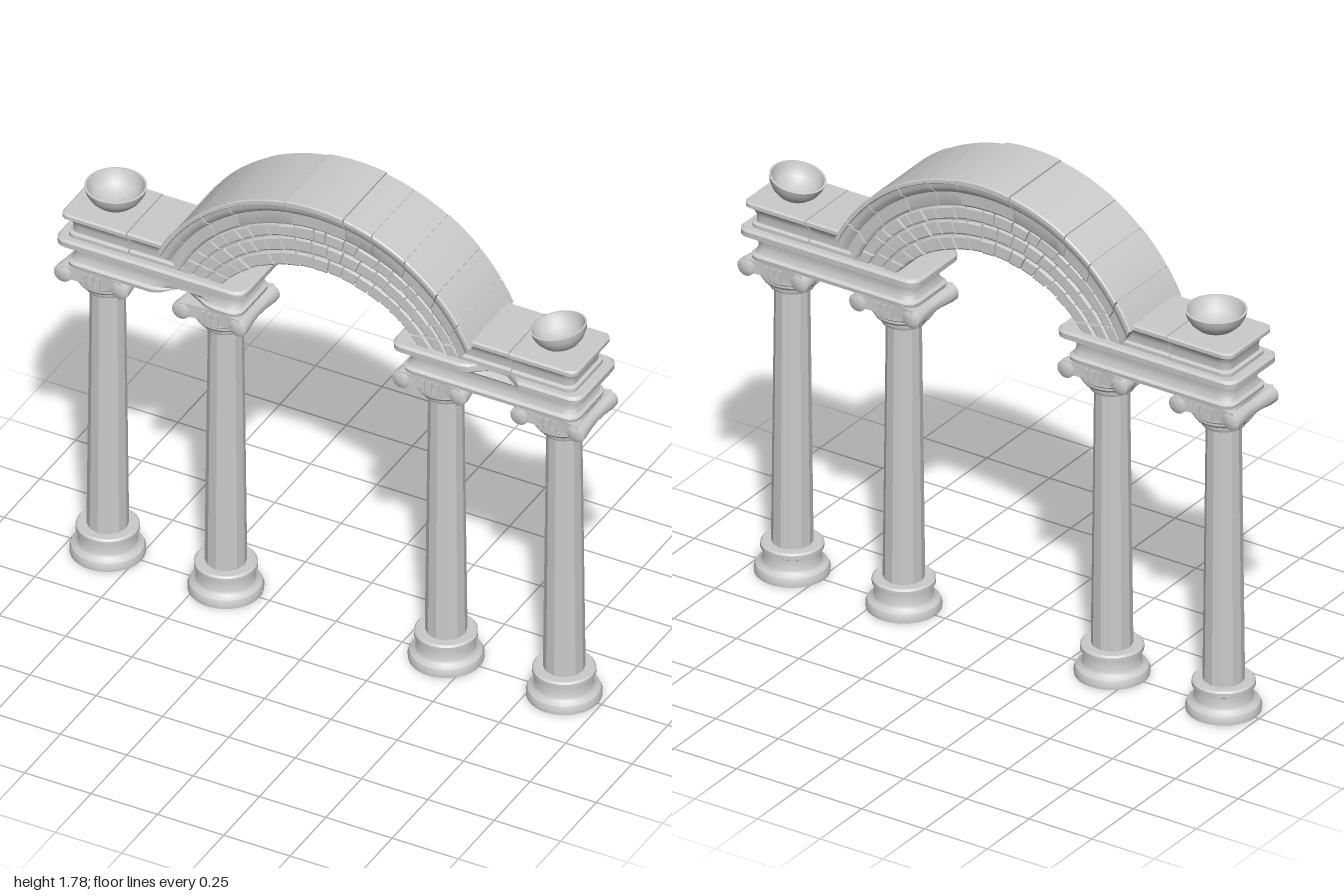
import * as THREE from 'three';
import { toCreasedNormals } from 'three/addons/utils/BufferGeometryUtils.js';

const stone = new THREE.MeshStandardMaterial({ color: 0xcccccc });
const faceted = new THREE.MeshStandardMaterial({ color: 0xcccccc, flatShading: true });
const lerp = THREE.MathUtils.lerp;

let seed = 7;
const jitter = (amount) => {
  seed = (seed * 16807) % 2147483647;
  return (seed / 2147483647 - 0.5) * 2 * amount;
};

function add(parent, name, geometry, x = 0, y = 0, z = 0, material = stone) {
  const mesh = new THREE.Mesh(geometry, material);
  mesh.name = name;
  mesh.position.set(x, y, z);
  parent.add(mesh);
  return mesh;
}

function lathe(points, segments = 32) {
  const profile = points.map(([r, y]) => new THREE.Vector2(r, y));
  return toCreasedNormals(new THREE.LatheGeometry(profile, segments), 0.6);
}

// Skin closed loops of points and cap both ends
function loft(loops) {
  const n = loops[0].length;
  const pos = [];
  const tri = (...corners) => corners.forEach((p) => pos.push(p.x, p.y, p.z));
  for (let k = 0; k < loops.length - 1; k++) {
    const a = loops[k], b = loops[k + 1];
    for (let i = 0; i < n; i++) {
      const j = (i + 1) % n;
      tri(a[i], a[j], b[j]);
      tri(a[i], b[j], b[i]);
    }
  }
  const centre = (loop) => loop.reduce((s, p) => s.add(p), new THREE.Vector3()).divideScalar(n);
  const first = loops[0], last = loops[loops.length - 1];
  const c0 = centre(first), c1 = centre(last);
  for (let i = 0; i < n; i++) {
    const j = (i + 1) % n;
    tri(c0, first[j], first[i]);
    tri(c1, last[i], last[j]);
  }
  const geometry = new THREE.BufferGeometry();
  geometry.setAttribute('position', new THREE.Float32BufferAttribute(pos, 3));
  return toCreasedNormals(geometry, 0.5);
}

// Moulded slab: rounded rectangles stacked along a profile of [y, inset]
function mouldedSlab(profile, x0, x1, hz, corner, warp = (p) => p) {
  const cx = (x0 + x1) / 2, half = (x1 - x0) / 2;
  return loft(profile.map(([y, inset]) => {
    const hx = half - inset, dz = hz - inset, loop = [];
    const corners = [[1, -1], [-1, -1], [-1, 1], [1, 1]];
    corners.forEach(([sx, sz], q) => {
      for (let s = 0; s <= 4; s++) {
        const a = (q + s / 4) * Math.PI / 2;
        loop.push(new THREE.Vector3(cx + sx * (hx - corner) + Math.cos(a) * corner, y,
          sz * (dz - corner) - Math.sin(a) * corner));
      }
      // extra points along the long sides, so that chips can be cut
      if (q % 2 === 0) {
        for (let s = 1; s < 20; s++) {
          loop.push(new THREE.Vector3(cx + sx * (hx - corner) * (1 - s / 10), y, sz * dz));
        }
      }
    });
    return loop.map(warp);
  }));
}

// Arch coordinates: t from soffit (0) to outer face (1), u from left end to right end
function archPoint(t, u, z) {
  const c = lerp(1.03, 1.13, t), r = lerp(0.47, 0.65, t);
  const endY = 1.32 + 0.085 * THREE.MathUtils.clamp((t - 0.59) / 0.41, 0, 1);
  const a = u * Math.acos((endY - c) / r);
  return new THREE.Vector3(r * Math.sin(a), c + r * Math.cos(a), z);
}

// Arch stone from a half section of [t, z], mirrored in z
function archStone(half, u0, u1, steps) {
  const section = [...half.map(([t, z]) => [t, -z]), ...half.slice().reverse()];
  const loops = [];
  for (let s = 0; s <= steps; s++) {
    loops.push(section.map(([t, z]) => archPoint(t, lerp(u0, u1, s / steps), z)));
  }
  return loft(loops);
}

function makeColumn(x) {
  const column = new THREE.Group();
  column.name = 'column';
  column.position.x = x;
  add(column, 'base', lathe([[0, 0], [0.127, 0], [0.128, 0.015], [0.122, 0.03], [0.105, 0.04],
    [0.099, 0.05], [0.099, 0.088], [0.107, 0.093], [0.107, 0.108], [0.1, 0.114], [0, 0.114]]));
  add(column, 'shaft', new THREE.CylinderGeometry(0.06, 0.071, 0.98, 12), 0, 0.6, 0, faceted);
  add(column, 'neck', lathe([[0, 1.08], [0.075, 1.08], [0.08, 1.09], [0.08, 1.1], [0.097, 1.108],
    [0.104, 1.118], [0.104, 1.126], [0.115, 1.135], [0.115, 1.16], [0, 1.16]]));
  // Scroll cushion with waisted rolls at both sides
  const cushion = new THREE.Shape();
  cushion.moveTo(-0.115, -0.122);
  cushion.quadraticCurveTo(0, -0.1, 0.115, -0.122);
  cushion.quadraticCurveTo(0.09, 0, 0.115, 0.122);
  cushion.quadraticCurveTo(0, 0.1, -0.115, 0.122);
  cushion.quadraticCurveTo(-0.09, 0, -0.115, -0.122);
  const plate = new THREE.ExtrudeGeometry(cushion, { depth: 0.05, bevelEnabled: false, curveSegments: 10 });
  plate.rotateX(-Math.PI / 2);
  add(column, 'capitalPlate', toCreasedNormals(plate, 0.5), 0, 1.149, 0);
  for (const side of [-1, 1]) {
    const roll = lathe([[0, -0.125], [0.02, -0.125], [0.033, -0.118], [0.033, -0.1], [0.026, -0.04],
      [0.024, 0], [0.026, 0.04], [0.033, 0.1], [0.033, 0.118], [0.02, 0.125], [0, 0.125]], 20);
    roll.rotateX(Math.PI / 2);
    add(column, 'scrollRoll', roll, side * 0.107, 1.166, 0);
    for (let i = -1; i <= 1; i++) {
      add(column, 'capitalDart', new THREE.BoxGeometry(0.012, 0.045, 0.02), i * 0.026, 1.165, side * 0.107);
    }
  }
  return column;
}

function makeEntablature(side) {
  const group = new THREE.Group();
  group.name = side > 0 ? 'leftEntablature' : 'rightEntablature';
  const span = (a, b) => side > 0 ? [a, b] : [-b, -a];
  // Architrave, with a worn notch in one moulding
  const chip = (p) => {
    const low = side < 0;
    const near = Math.max(0, 1 - Math.abs(p.x - (low ? -0.52 : 0.66)) / 0.1);
    if (low ? p.y < 1.225 : p.y > 1.285) {
      if (p.z > 0.08) p.z = lerp(p.z, 0.088, Math.min(1, near * 1.5));
      if (low && p.z > 0.07) p.y += 0.035 * near * (1.225 - p.y) / 0.025;
    }
    return p;
  };
  add(group, 'architrave', mouldedSlab([[1.198, 0.028], [1.212, 0.026], [1.22, 0.036], [1.235, 0.042],
    [1.255, 0.043], [1.27, 0.04], [1.283, 0.028], [1.29, 0.012], [1.294, 0.001], [1.314, 0], [1.322, 0.008]],
    ...span(0.277, 0.99), 0.142, 0.04, chip));
  // Cornice in two blocks; the inner one leans into the arch
  const cornice = [[1.318, 0.016], [1.335, 0.016], [1.34, 0.027], [1.365, 0.027], [1.385, 0.02],
    [1.398, 0.006], [1.402, 0], [1.415, 0], [1.42, 0.006]];
  add(group, 'corniceEnd', mouldedSlab(cornice, ...span(0.705, 0.972), 0.132, 0.03, (p) => {
    // flatten the end that meets the neighbouring block
    if (p.x * side < 0.765) p.x = side * 0.722;
    return p;
  }));
  add(group, 'corniceInner', mouldedSlab(cornice, ...span(0.47, 0.75), 0.13, 0.004, (p) => {
    const f = (p.x * side - 0.47) / 0.28;
    p.x = side * lerp(0.49 + (p.y - 1.32) * 0.7, 0.718, THREE.MathUtils.clamp((f - 0.13) / 0.74, 0, 1));
    return p;
  }));
  return group;
}

function makeArch() {
  const arch = new THREE.Group();
  arch.name = 'arch';
  add(arch, 'archCore', archStone([[0.012, 0.104], [0.58, 0.104], [0.85, 0.112], [0.985, 0.146]], -0.995, 0.995, 48));
  // Three rows of bricks
  [[0, 0.185, 17], [0.205, 0.385, 19], [0.405, 0.575, 21]].forEach(([t0, t1, count]) => {
    const cuts = [-1];
    for (let i = 1; i < count; i++) cuts.push(-1 + (2 * i) / count + jitter(0.018));
    cuts.push(1);
    for (let i = 0; i < count; i++) {
      const z = 0.113 + jitter(0.003), dt = jitter(0.008);
      add(arch, 'brick', archStone([[t0, z - 0.004], [t0 + 0.02, z], [t1 - 0.02 + dt, z], [t1 + dt, z - 0.004]],
        cuts[i] + 0.006, cuts[i + 1] - 0.006, 3));
    }
  });
  // Moulded outer stones
  const cuts = [-1, -0.85, -0.64, -0.47, -0.15, 0.15, 0.3, 0.49, 0.7, 0.87, 1];
  for (let i = 0; i < cuts.length - 1; i++) {
    const d = jitter(0.004), top = 1 + jitter(0.012);
    add(arch, 'moulding', archStone([[0.59, 0.114], [0.62, 0.119 + d], [0.78, 0.122 + d], [0.83, 0.138 + d],
      [0.87, 0.143 + d], [0.925, 0.147 + d], [0.94, 0.154 + d], [top - 0.015, 0.154 + d], [top, 0.15 + d]],
      cuts[i] + 0.003, cuts[i + 1] - 0.003, 6));
  }
  return arch;
}

function makeBowl(r) {
  return lathe([[0, 0], [0.4 * r, 0], [0.62 * r, 0.012], [0.82 * r, 0.032], [0.95 * r, 0.055], [r, 0.076],
    [0.93 * r, 0.077], [0.86 * r, 0.056], [0.7 * r, 0.033], [0.4 * r, 0.015], [0, 0.01]]);
}

export function createModel() {
  const model = new THREE.Group();
  model.name = 'colonnadeArch';
  for (const x of [-0.86, -0.415, 0.415, 0.86]) model.add(makeColumn(x));
  for (const side of [-1, 1]) model.add(makeEntablature(side));
  model.add(makeArch());
  // Bowls on the end blocks, one of them tipped over
  add(model, 'rightBowl', makeBowl(0.105), -0.83, 1.421, 0);
  const tipped = add(model, 'leftBowl', makeBowl(0.097), 0.853, 1.416, 0);
  tipped.rotation.z = 0.2;
  return model;
}
